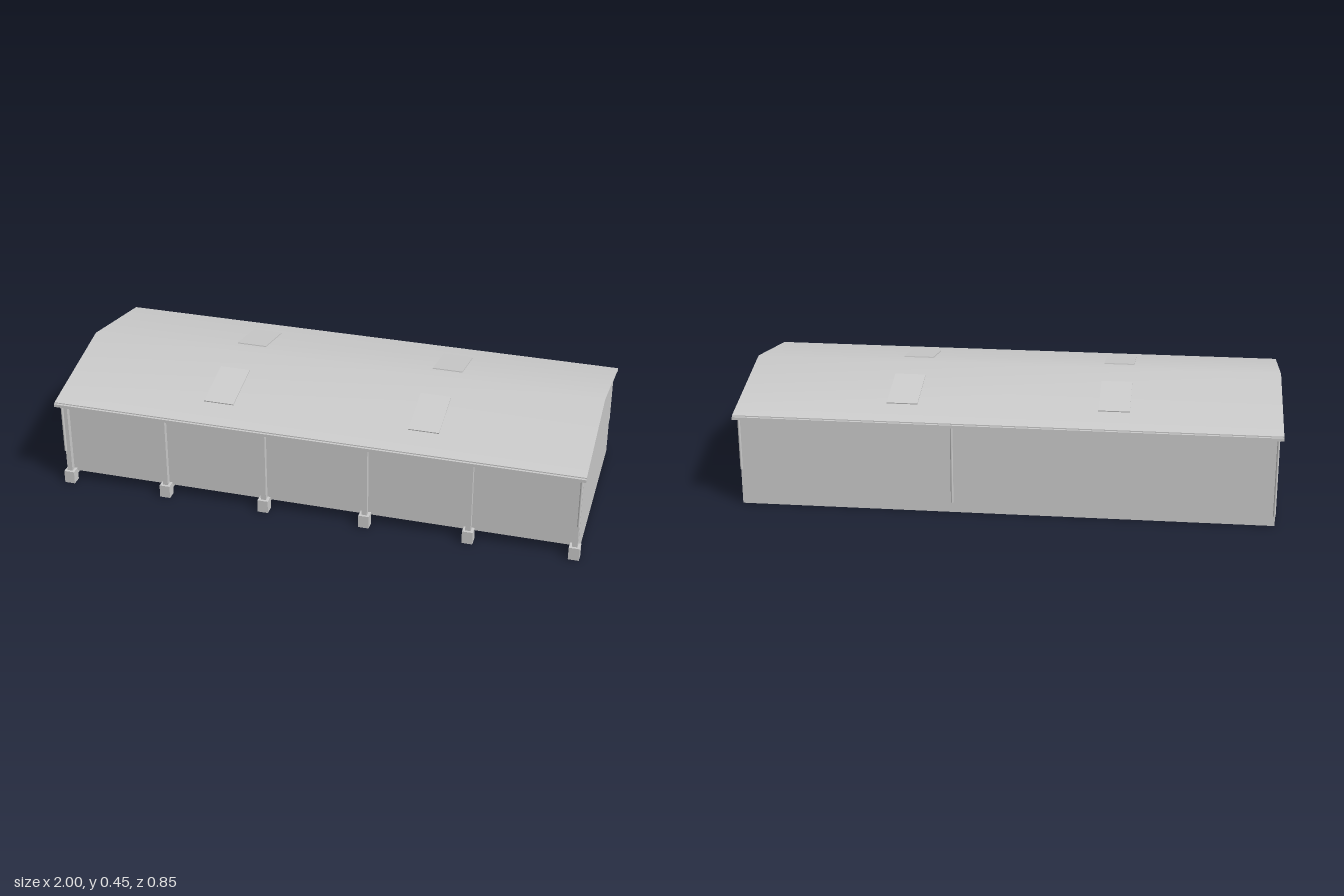
import * as THREE from 'three';

const RIDGE = 0.448, EAVE = 0.362, HALF = 0.415;
const SLOPE = (RIDGE - EAVE) / HALF;
const roofY = (z, drop = 0) => RIDGE - SLOPE * Math.abs(z) - drop;

export function createModel() {
  const model = new THREE.Group();
  model.name = 'shed';
  const grey = new THREE.MeshStandardMaterial({ color: 0xcccccc });
  grey.name = 'light grey';

  const add = (name, geometry) => {
    const mesh = new THREE.Mesh(geometry, grey);
    mesh.name = name;
    model.add(mesh);
    return mesh;
  };
  // box given by its limits
  const box = (name, x0, x1, y0, y1, z0, z1) => {
    const mesh = add(name, new THREE.BoxGeometry(x1 - x0, y1 - y0, z1 - z0));
    mesh.position.set((x0 + x1) / 2, (y0 + y1) / 2, (z0 + z1) / 2);
    return mesh;
  };
  // (z, y) outline extruded from x0 to x1
  const slab = (name, outline, x0, x1) => {
    const shape = new THREE.Shape(outline.map(([z, y]) => new THREE.Vector2(-z, y)));
    const geometry = new THREE.ExtrudeGeometry(shape, { depth: x1 - x0, bevelEnabled: false });
    geometry.rotateY(Math.PI / 2).translate(x0, 0, 0);
    return add(name, geometry);
  };

  // roof slab, with a softly shaded skin across the ridge
  slab('roofSlab', [
    [HALF, roofY(HALF, 0.001)], [0, roofY(0, 0.001)], [-HALF, roofY(HALF, 0.001)],
    [-HALF, roofY(HALF, 0.009)], [0, roofY(0, 0.009)], [HALF, roofY(HALF, 0.009)],
  ], -1, 1);
  const skin = new THREE.PlaneGeometry(2, HALF * 2, 1, 2).rotateX(-Math.PI / 2);
  const p = skin.attributes.position;
  for (let i = 0; i < p.count; i++) p.setY(i, roofY(p.getZ(i)));
  skin.computeVertexNormals();
  add('roofSkin', skin);

  // skylights, two on each slope
  for (const side of [1, -1]) {
    for (const x of [-0.39, 0.39]) {
      const light = add('skylight', new THREE.BoxGeometry(0.115, 0.008, 0.2 * Math.hypot(1, SLOPE)));
      light.position.set(x, roofY(0.2), side * 0.2);
      light.rotation.x = side * Math.atan(SLOPE);
    }
    // gutter along each eave
    box('gutter', -1, 1, 0.346, 0.357, side * 0.419 - 0.005, side * 0.419 + 0.005);
  }

  // end walls and back wall
  for (const side of [1, -1]) {
    const x = side * 0.98;
    slab('endWall', [
      [0.37, 0], [0.37, roofY(0.37, 0.008)], [0, roofY(0, 0.008)],
      [-0.39, roofY(0.39, 0.008)], [-0.39, 0],
    ], x - 0.006, x + 0.006);
  }
  box('backWall', -0.98, 0.98, 0, 0.36, -0.39, -0.38);

  // front posts on footings, with a partition behind each inner one
  for (let i = 0; i < 6; i++) {
    const x = -0.975 + i * 0.39;
    box('post', x - 0.01, x + 0.01, 0.05, 0.36, 0.37, 0.39);
    box('footing', x - 0.02, x + 0.02, 0, 0.05, 0.362, 0.4);
    if (i > 0 && i < 5) {
      slab('partition', [
        [0.37, 0], [0.37, roofY(0.37, 0.01)], [0, roofY(0, 0.01)], [-0.02, roofY(0.02, 0.01)], [-0.02, 0],
      ], x - 0.005, x + 0.005);
    }
  }

  // raised bays filling the front half
  for (let i = 0; i < 5; i++) {
    const x = -0.975 + i * 0.39;
    slab('bay', [
      [0.365, 0.04], [0.365, roofY(0.365, 0.01)], [0, roofY(0, 0.01)], [0, 0.04],
    ], x + 0.004, x + 0.386);
  }

  // downpipes: x, lower end, side
  const pipes = [
    [0.983, 0.14, 1], [-0.983, 0.14, 1],
    [0.983, 0.14, -1], [0.195, 0.04, -1], [-0.983, 0.04, -1],
  ];
  for (const [x, bottom, side] of pipes) {
    const pipe = add('downpipe', new THREE.CylinderGeometry(0.005, 0.005, 0.355 - bottom, 10));
    pipe.position.set(x, (0.355 + bottom) / 2, side * 0.393);
  }
  return model;
}
